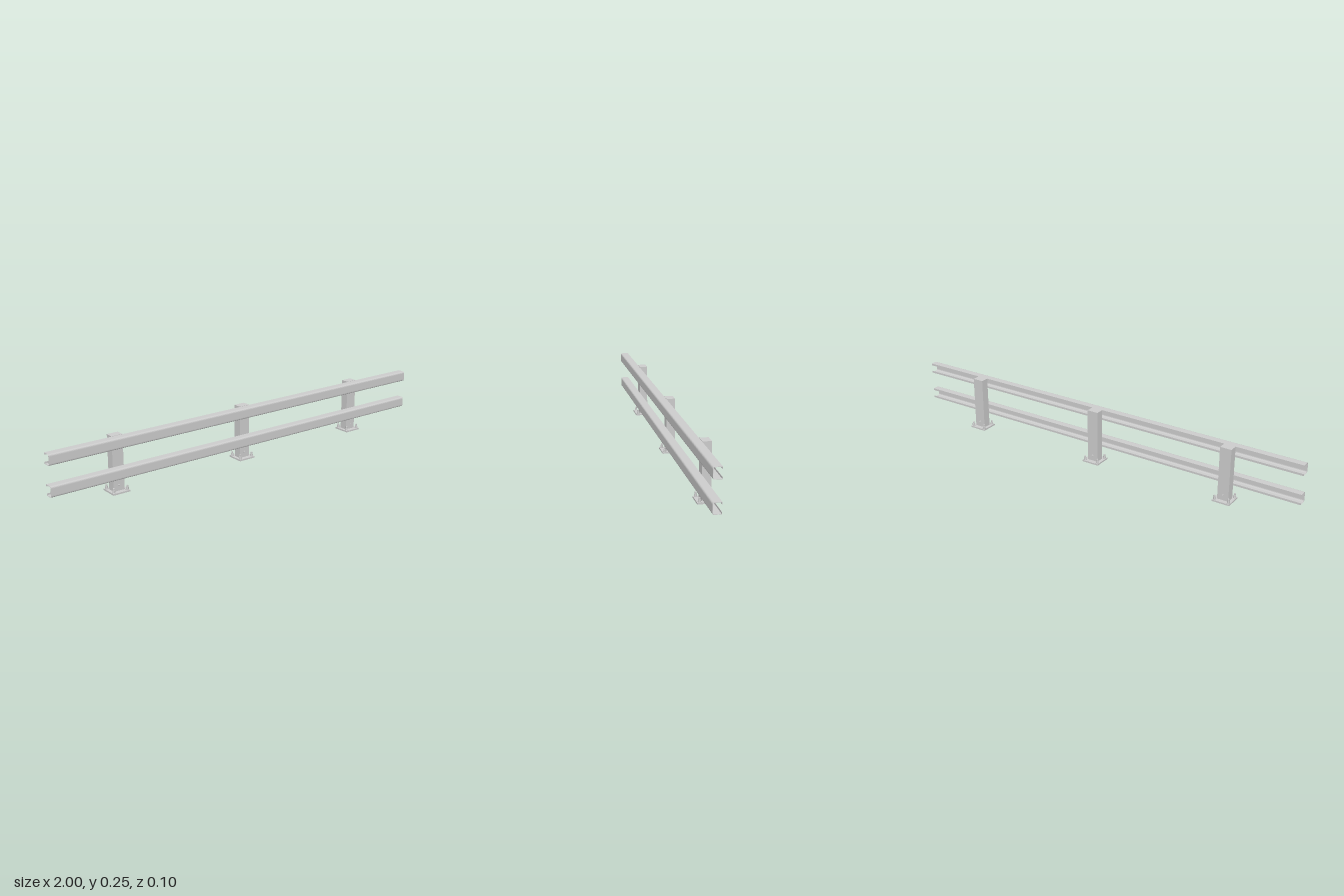
import * as THREE from 'three';

const steel = new THREE.MeshStandardMaterial({ color: 0xcccccc, flatShading: true });

function add(parent, name, geometry, x = 0, y = 0, z = 0) {
  const mesh = new THREE.Mesh(geometry, steel);
  mesh.name = name;
  mesh.position.set(x, y, z);
  parent.add(mesh);
  return mesh;
}

// Lipped channel in (z, y), open towards the post, centred on y = 0
function channelShape() {
  const back = 0.012, front = 0.049, h = 0.0242, t = 0.0015, r = 0.009, lip = 0.015;
  const s = new THREE.Shape();
  s.moveTo(back, lip);
  s.lineTo(back, h);
  s.lineTo(front - r, h);
  s.quadraticCurveTo(front, h, front, h - r);
  s.lineTo(front, -h + r);
  s.quadraticCurveTo(front, -h, front - r, -h);
  s.lineTo(back, -h);
  s.lineTo(back, -lip);
  s.lineTo(back + t, -lip);
  s.lineTo(back + t, -h + t);
  s.lineTo(front - r, -h + t);
  s.quadraticCurveTo(front - t, -h + t, front - t, -h + r);
  s.lineTo(front - t, h - r);
  s.quadraticCurveTo(front - t, h - t, front - r, h - t);
  s.lineTo(back + t, h - t);
  s.lineTo(back + t, lip);
  s.closePath();
  return s;
}

// Hexagonal bolt head, washer and shank lying along z
function crossBolt(parent, name, x, y, z, dir) {
  const bolt = new THREE.Group();
  bolt.name = name;
  bolt.position.set(x, y, z);
  bolt.rotation.x = dir * Math.PI / 2;
  add(bolt, 'washer', new THREE.CylinderGeometry(0.0045, 0.0045, 0.001, 12), 0, 0.0005);
  add(bolt, 'boltHead', new THREE.CylinderGeometry(0.0035, 0.0035, 0.004, 6), 0, 0.003);
  add(bolt, 'shank', new THREE.CylinderGeometry(0.0018, 0.0018, 0.008, 8), 0, 0.003);
  parent.add(bolt);
}

// Anchor bolt standing on the base plate
function anchor(parent, x, z) {
  const bolt = new THREE.Group();
  bolt.name = 'anchorBolt';
  bolt.position.set(x, 0.007, z);
  add(bolt, 'washer', new THREE.CylinderGeometry(0.0075, 0.0075, 0.002, 14), 0, 0.001);
  add(bolt, 'nut', new THREE.CylinderGeometry(0.0055, 0.0065, 0.011, 6), 0, 0.0075);
  add(bolt, 'stud', new THREE.CylinderGeometry(0.004, 0.004, 0.008, 10), 0, 0.0165);
  parent.add(bolt);
}

function createPost(railHeights) {
  const post = new THREE.Group();
  post.name = 'post';
  add(post, 'basePlate', new THREE.BoxGeometry(0.083, 0.007, 0.081), 0, 0.0035, -0.0075);
  add(post, 'upright', new THREE.BoxGeometry(0.053, 0.246, 0.038), 0, 0.13, -0.008);

  for (const x of [-0.033, 0.033]) for (const z of [0.022, -0.038]) anchor(post, x, z);

  // Fixings through the foot of the upright
  crossBolt(post, 'frontFootBolt', 0, 0.032, 0.011, 1);
  crossBolt(post, 'rearFootBolt', 0, 0.032, -0.027, -1);

  // Fixings inside the rail lips
  for (const y of railHeights)
    for (const dy of [-0.0195, 0.0195])
      for (const x of [-0.015, 0.015]) crossBolt(post, 'railBolt', x, y + dy, 0.0135, 1);
  return post;
}

export function createModel() {
  const model = new THREE.Group();
  model.name = 'guardRail';
  const railHeights = [0.093, 0.228];

  // Horizontal rails
  const rail = new THREE.ExtrudeGeometry(channelShape(), { depth: 2, bevelEnabled: false, curveSegments: 5 });
  rail.translate(0, 0, -1).rotateY(-Math.PI / 2);
  railHeights.forEach((y, i) => add(model, i ? 'upperRail' : 'lowerRail', rail, 0, y, 0));

  // Posts
  for (const x of [-0.667, 0, 0.667]) {
    const post = createPost(railHeights);
    post.position.x = x;
    model.add(post);
  }
  return model;
}
